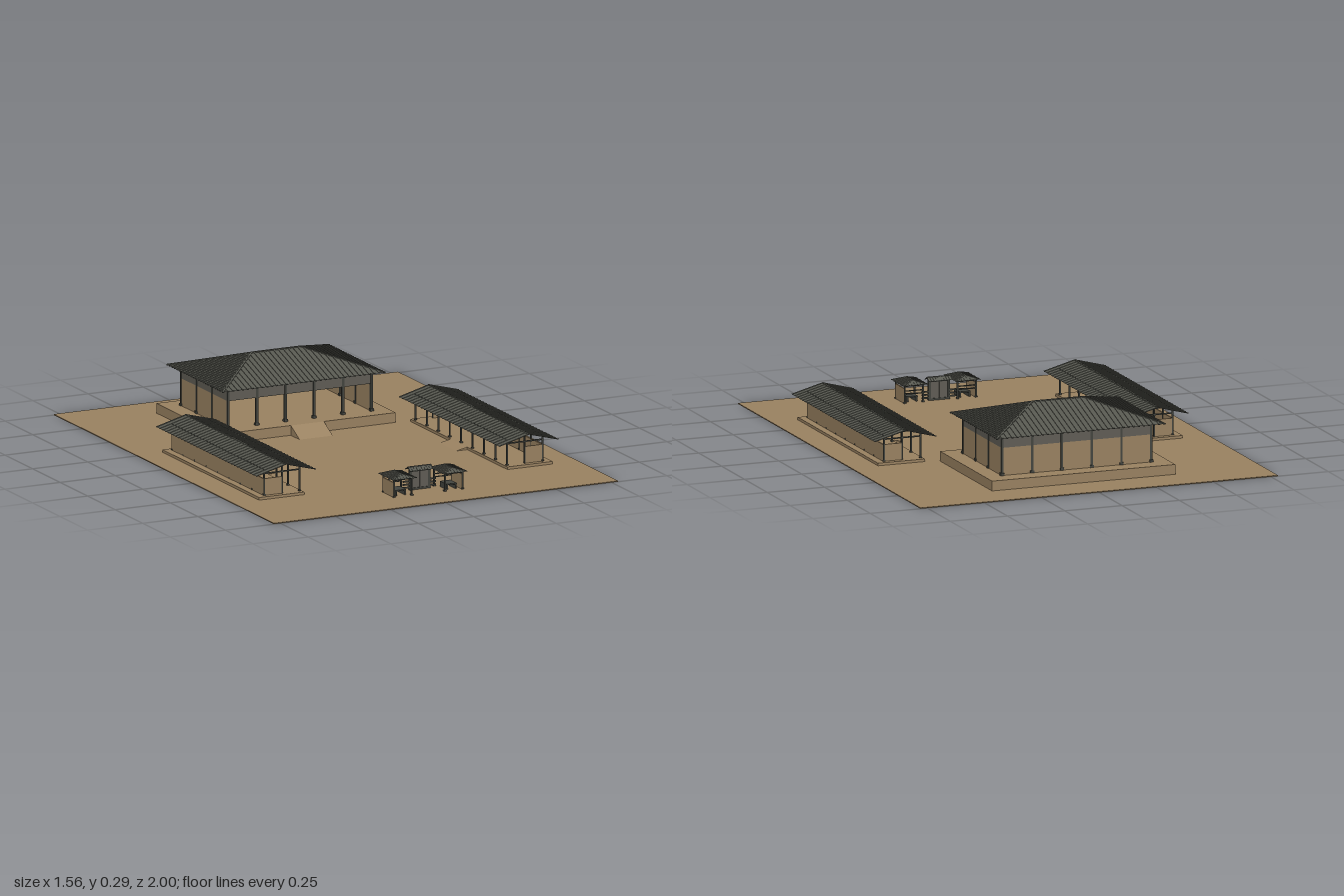
import * as THREE from 'three';
import { mergeGeometries } from 'three/addons/utils/BufferGeometryUtils.js';

const mat = (name, color, side = THREE.FrontSide) => {
  const m = new THREE.MeshStandardMaterial({ color, side });
  m.name = name;
  return m;
};

export function createModel() {
  const earth = mat('earth', 0x9a8261);
  const tile = mat('roofTile', 0x575850, THREE.DoubleSide);
  const timber = mat('timber', 0x43453f);
  const panel = mat('greyPanel', 0x605d55);

  const model = new THREE.Group();
  model.name = 'courtyard';

  const group = (name, parent, x = 0, y = 0, z = 0) => {
    const g = new THREE.Group();
    g.name = name;
    g.position.set(x, y, z);
    parent.add(g);
    return g;
  };
  // box given by its lower and upper limits
  const box = (name, parent, m, x0, x1, y0, y1, z0, z1) => {
    const b = new THREE.Mesh(new THREE.BoxGeometry(x1 - x0, y1 - y0, z1 - z0), m);
    b.name = name;
    b.position.set((x0 + x1) / 2, (y0 + y1) / 2, (z0 + z1) / 2);
    parent.add(b);
    return b;
  };
  // square post with a wider foot
  const post = (parent, x, z, y0, y1, w) => {
    const h = w / 2;
    box('column', parent, timber, x - h, x + h, y0, y1, z - h, z + h);
    box('columnFoot', parent, timber, x - w * 0.8, x + w * 0.8, y0, y0 + w, z - w * 0.8, z + w * 0.8);
  };
  // thin bar lying between two points
  const bar = (a, b, w, t) => {
    const g = new THREE.BoxGeometry(w, t, a.distanceTo(b));
    const o = new THREE.Object3D();
    o.position.copy(a).add(b).multiplyScalar(0.5);
    o.lookAt(b);
    o.updateMatrix();
    return g.applyMatrix4(o.matrix);
  };
  // roof with its ridge along x: half length L, half width W, half ridge r, height h
  const roof = (parent, L, W, r, h, pitch, w) => {
    const g = group('roof', parent);
    const V = (x, y, z) => new THREE.Vector3(x, y, z);
    const pts = [];
    const tri = (...p) => p.forEach((v) => pts.push(v.x, v.y, v.z));
    for (const s of [1, -1]) {
      const a = V(-L * s, 0, W * s), b = V(L * s, 0, W * s);
      const c = V(r * s, h, 0), d = V(-r * s, h, 0);
      tri(a, b, c);
      tri(a, c, d);
      if (r < L) tri(b, V(L * s, 0, -W * s), c);
    }
    const geo = new THREE.BufferGeometry();
    geo.setAttribute('position', new THREE.Float32BufferAttribute(pts, 3));
    geo.computeVertexNormals();
    const shell = new THREE.Mesh(geo, tile);
    shell.name = 'roofSlopes';
    g.add(shell);

    // tile ribs running down every slope, then the ridge and hip caps
    const ribs = [];
    const th = w * 0.6;
    const n = Math.round((2 * L - w) / pitch);
    for (let i = 0; i <= n; i++) {
      const x = -L + w / 2 + (i * (2 * L - w)) / n;
      const t = Math.abs(x) <= r ? 1 : (L - Math.abs(x)) / (L - r);
      for (const s of [1, -1]) ribs.push(bar(V(x, 0, W * s), V(x, h * t, W * s * (1 - t)), w, th));
    }
    if (r < L) {
      const m = Math.round((2 * W - w) / pitch);
      for (let i = 0; i <= m; i++) {
        const z = -W + w / 2 + (i * (2 * W - w)) / m;
        const t = 1 - Math.abs(z) / W;
        for (const s of [1, -1]) ribs.push(bar(V(L * s, 0, z), V(s * (L - t * (L - r)), h * t, z), w, th));
      }
      for (const sx of [1, -1])
        for (const sz of [1, -1]) ribs.push(bar(V(L * sx, 0, W * sz), V(r * sx, h, 0), w, th));
    }
    ribs.push(bar(V(-r, h, 0), V(r, h, 0), w * 1.3, th));
    const ribMesh = new THREE.Mesh(mergeGeometries(ribs), tile);
    ribMesh.name = 'tileRibs';
    g.add(ribMesh);
    return g;
  };
  // ramp falling toward +z from height h
  const ramp = (parent, width, depth, h) => {
    const s = new THREE.Shape();
    s.moveTo(0, 0).lineTo(depth, 0).lineTo(0, h);
    const geo = new THREE.ExtrudeGeometry(s, { depth: width, bevelEnabled: false });
    geo.translate(0, 0, -width / 2).rotateY(-Math.PI / 2);
    const m = new THREE.Mesh(geo, earth);
    m.name = 'ramp';
    parent.add(m);
    return m;
  };

  box('ground', model, earth, -0.78, 0.78, 0, 0.004, -1, 1);

  // Main hall on its raised terrace
  const hall = group('mainHall', model, 0, 0, -0.545);
  box('terrace', hall, earth, -0.4, 0.4, 0.004, 0.045, -0.285, 0.285);
  ramp(hall, 0.15, 0.08, 0.041).position.set(0, 0.004, 0.285);
  const X = 0.325, Zb = -0.205, Zf = 0.215;
  box('backWall', hall, earth, -X, X, 0.045, 0.16, Zb - 0.003, Zb + 0.003);
  box('backPanel', hall, panel, -X, X, 0.16, 0.215, Zb - 0.003, Zb + 0.003);
  box('frontPanel', hall, panel, -X, X, 0.16, 0.215, Zf - 0.003, Zf + 0.003);
  for (const s of [1, -1]) {
    box('sideWall', hall, earth, s * X - 0.003, s * X + 0.003, 0.045, 0.16, Zb, Zf);
    box('sidePanel', hall, panel, s * X - 0.003, s * X + 0.003, 0.16, 0.215, Zb, Zf);
  }
  for (let i = 0; i < 6; i++)
    for (const z of [Zb, Zf]) post(hall, -X + i * 0.13, z, 0.045, 0.212, 0.01);
  for (let i = 1; i < 3; i++)
    for (const s of [1, -1]) post(hall, s * X, Zb + i * 0.14, 0.045, 0.212, 0.01);
  roof(hall, 0.368, 0.255, 0.11, 0.08, 0.022, 0.008).position.y = 0.21;

  // Long side halls, open toward the courtyard
  for (const s of [1, -1]) {
    const wing = group(s > 0 ? 'leftWing' : 'rightWing', model, s * 0.55, 0, 0.195);
    if (s > 0) wing.rotation.y = Math.PI; // courtyard side is local +x
    box('plinth', wing, earth, -0.115, 0.09, 0.004, 0.015, -0.44, 0.44);
    const step = ramp(wing, 0.15, 0.05, 0.011);
    step.rotation.y = Math.PI / 2;
    step.position.set(0.09, 0.004, 0);
    box('outerWall', wing, earth, -0.084, -0.078, 0.015, 0.085, -0.416, 0.416);
    for (const e of [1, -1])
      box('endWall', wing, earth, -0.081, 0, 0.015, 0.085, e * 0.414 - 0.003, e * 0.414 + 0.003);
    for (let i = 0; i < 9; i++) {
      const z = -0.416 + i * 0.104;
      post(wing, -0.08, z, 0.015, 0.124, 0.006);
      post(wing, 0.08, z, 0.015, 0.124, 0.006);
      box('tieBeam', wing, timber, -0.08, 0.08, 0.104, 0.109, z - 0.003, z + 0.003);
      box('kingPost', wing, timber, -0.003, 0.003, i % 8 ? 0.107 : 0.015, 0.145, z - 0.003, z + 0.003);
    }
    for (const x of [-0.08, 0.08])
      box('eaveBeam', wing, timber, x - 0.003, x + 0.003, 0.119, 0.124, -0.42, 0.42);
    const r = roof(wing, 0.455, 0.135, 0.455, 0.036, 0.028, 0.006);
    r.rotation.y = Math.PI / 2;
    r.position.y = 0.109;
  }

  // Gate with a roofed doorway
  const gate = group('gate', model, 0, 0, 0.757);
  for (const s of [1, -1])
    box('gatePost', gate, timber, s * 0.042 - 0.005, s * 0.042 + 0.005, 0.004, 0.09, -0.006, 0.006);
  box('lintel', gate, timber, -0.047, 0.047, 0.08, 0.09, -0.006, 0.006);
  box('sill', gate, timber, -0.042, 0.042, 0.004, 0.012, -0.006, 0.006);
  for (const s of [1, -1])
    box('doorLeaf', gate, panel, s * 0.019 - 0.0185, s * 0.019 + 0.0185, 0.012, 0.08, -0.003, 0.003);
  roof(gate, 0.053, 0.024, 0.053, 0.014, 0.012, 0.004).position.y = 0.087;

  // Small pavilions flanking the gate
  for (const s of [1, -1]) {
    const pav = group(s > 0 ? 'leftPavilion' : 'rightPavilion', model, s * 0.115, 0, 0.79);
    const wx = s * 0.04;
    box('outerWall', pav, earth, wx - 0.003, wx + 0.003, 0.004, 0.066, -0.048, 0.048);
    for (const x of [-0.04, 0.04])
      for (const z of [-0.048, 0.048]) post(pav, x, z, 0.004, 0.084, 0.006);
    for (const z of [-0.048, 0.048])
      box('crossBeam', pav, timber, -0.04, 0.04, 0.073, 0.078, z - 0.003, z + 0.003);
    for (const y of [0.042, 0.055])
      box('backRail', pav, timber, -0.04, 0.04, y - 0.002, y + 0.002, -0.05, -0.046);
    box('benchTop', pav, timber, -0.024, 0.024, 0.022, 0.027, -0.03, 0.03);
    for (const x of [-0.02, 0.02])
      box('benchSide', pav, timber, x - 0.003, x + 0.003, 0.004, 0.022, -0.03, 0.03);
    for (const y of [0.015, 0.028, 0.041]) {
      const a = -s * 0.04, b = -s * 0.068;
      box('fenceRail', pav, timber, Math.min(a, b), Math.max(a, b), y - 0.003, y + 0.003, -0.036, -0.03);
    }
    const r = roof(pav, 0.066, 0.054, 0.03, 0.016, 0.013, 0.004);
    r.rotation.y = Math.PI / 2;
    r.position.y = 0.08;
  }
  return model;
}
